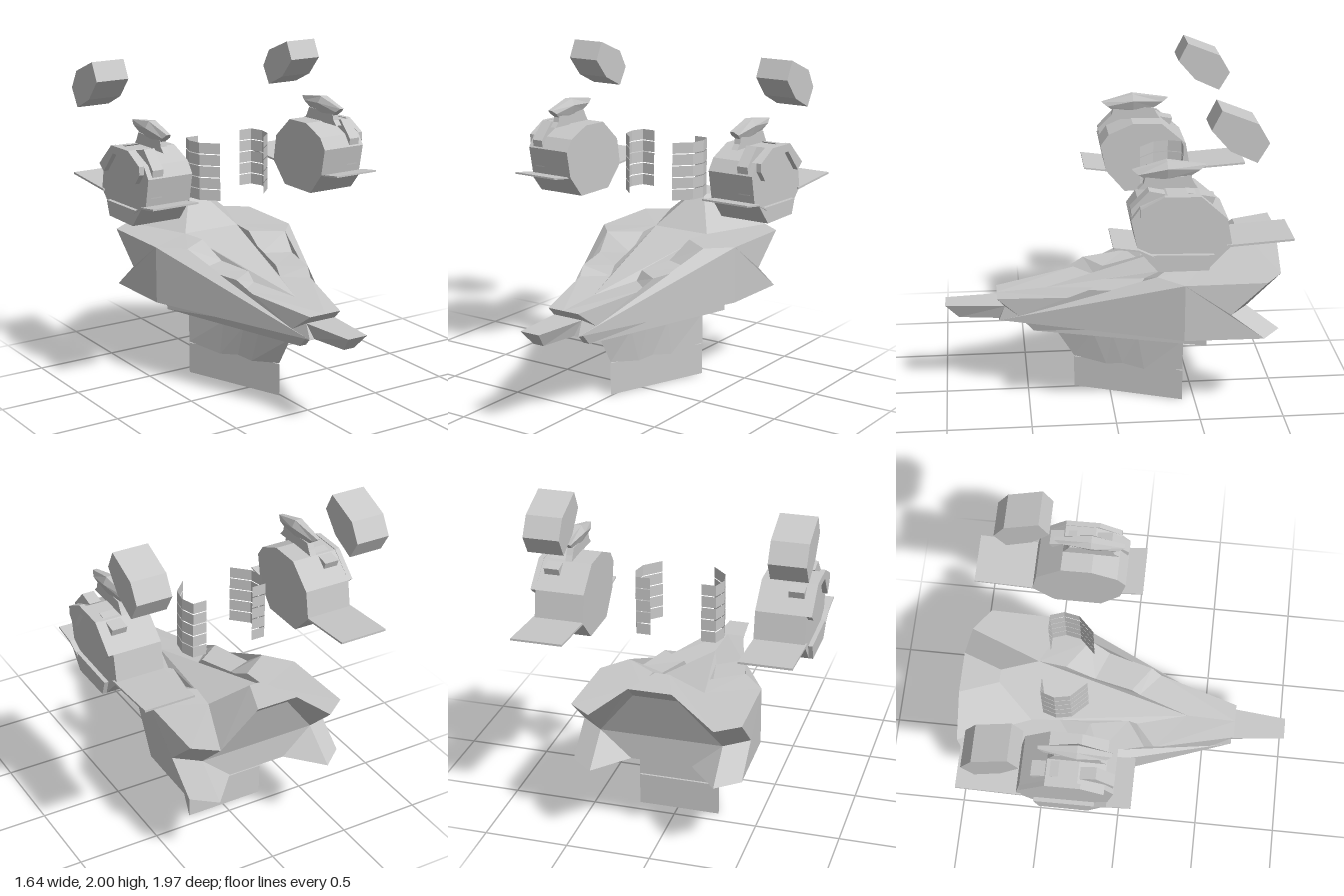
import * as THREE from 'three';

const grey = new THREE.MeshStandardMaterial({ color: 0xc8c8c8, flatShading: true, side: THREE.DoubleSide });
grey.name = 'plain grey';

function mesh(name, geometry, parent) {
  const m = new THREE.Mesh(geometry, grey);
  m.name = name;
  parent.add(m);
  return m;
}

// Faceted surface from polygons, every facet turned away from an inner point
function facets(polys, inner) {
  const pos = [];
  const c = new THREE.Vector3(...inner);
  for (const poly of polys) {
    const p = poly.map((q) => new THREE.Vector3(...q));
    for (let i = 1; i < p.length - 1; i++) {
      const n = p[i].clone().sub(p[0]).cross(p[i + 1].clone().sub(p[0]));
      const out = p[0].clone().add(p[i]).add(p[i + 1]).divideScalar(3).sub(c);
      const tri = n.dot(out) >= 0 ? [p[0], p[i], p[i + 1]] : [p[0], p[i + 1], p[i]];
      tri.forEach((v) => pos.push(v.x, v.y, v.z));
    }
  }
  const g = new THREE.BufferGeometry();
  g.setAttribute('position', new THREE.Float32BufferAttribute(pos, 3));
  g.computeVertexNormals();
  return g;
}

// Closed solid through rings with equal point counts
function loft(rings, inner) {
  const polys = [rings[0], rings[rings.length - 1]];
  for (let r = 0; r < rings.length - 1; r++) {
    const a = rings[r], b = rings[r + 1];
    a.forEach((p, i) => {
      const j = (i + 1) % a.length;
      polys.push([p, a[j], b[j], b[i]]);
    });
  }
  return facets(polys, inner);
}

// Side profile of [z, y] points extruded from x0 to x1
function slab(profile, x0, x1) {
  const g = new THREE.ExtrudeGeometry(new THREE.Shape(profile.map((p) => new THREE.Vector2(...p))),
    { depth: x1 - x0, bevelEnabled: false });
  return g.rotateY(-Math.PI / 2).translate(x1, 0, 0);
}

const flip = ([x, y, z]) => [-x, y, z];

function makeHull() {
  // Deck edge, cockpit rim, chine and floor points of the +x half
  const D = [[.355, .865, -.25], [.325, .765, -.13], [.255, .755, .14], [.235, .70, .2], [.105, .65, .68]];
  const I = [[.17, .865, -.38], [.145, .77, -.2], [.1, .755, .03], [.095, .70, .08], [0, .67, .385]];
  const chine = [.487, .86, -.4], bow = [.14, .55, .55], lip = [.1, .6, .635];
  const keelFront = [.1, .51, .67], keelSide = [.487, .51, -.4];
  // Ridge
  const foot = [.19, .865, -.55], ridgeBack = [.125, 1.06, -.98], ridgeFront = [.04, 1.06, -.75];
  const under = [.13, .97, -.88];
  // Notched tail: upper tip, notch and lower tip at the outer, middle and inner lines
  const outU = [.495, .865, -.88], outN = [.495, .67, -.67], outL = [.495, .51, -.87];
  const midU = [.36, .865, -.98], midN = [.36, .67, -.78], midL = [.36, .51, -.98];
  const inN = [.18, .67, -.78], inL = [.18, .51, -.78];
  const half = [
    [foot, midU, outU, chine, D[0], I[0]],
    [D[3], D[4], [0, .65, .68], I[4], I[3]],
    [foot, ...I],
    [bow, lip, ...[...D].reverse(), chine],
    [bow, lip, keelFront],
    [chine, bow, keelFront, keelSide],
    [chine, outU, outN, outL, keelSide],
    [[0, .51, .67], keelFront, keelSide, outL, midL, inL, [0, .51, -.78]],
    [midU, ridgeBack, ridgeFront, foot],
    [outU, midU, midN, outN], [midN, midL, outL, outN],
    [midN, midU, ridgeBack, under, inN], [midN, inN, inL, midL],
  ];
  for (let i = 0; i < 3; i++) half.push([D[i], D[i + 1], I[i + 1], I[i]]);
  const across = [[foot, ridgeFront], [ridgeFront, ridgeBack], [ridgeBack, under], [under, inN],
    [inN, inL], [D[4], lip], [lip, keelFront]].map(([a, b]) => [a, b, flip(b), flip(a)]);
  const floor = [foot, I[4], flip(foot)];
  return facets([...half, ...half.map((f) => f.map(flip)), ...across, floor], [0, .66, -.3]);
}

// Triangular plan ring; the flanks follow the heights given at fractions from bow to stern
function wedgeRing(bowZ, heights) {
  const flank = heights.map(([t, y]) => [.245 * t, y, bowZ + (-.425 - bowZ) * t]);
  return [...flank, ...flank.slice(1).reverse().map(flip)];
}

function makePod() {
  const pod = new THREE.Group();
  const body = [[-.2, 1.1], [-.48, 1.1], [-.61, 1.235], [-.58, 1.4], [-.43, 1.53], [-.25, 1.535], [-.1, 1.47], [-.05, 1.4], [-.085, 1.235]];
  mesh('podBody', slab(body, .5, .79), pod);
  mesh('podSkirt', slab([[-.2, 1.1], [-.48, 1.1], [-.51, 1.19], [-.14, 1.2], [-.085, 1.235]], .79, .815), pod);
  mesh('podBracket', slab([[-.1, 1.42], [-.15, 1.36], [-.24, 1.49], [-.41, 1.49], [-.53, 1.36],
    [-.58, 1.4], [-.43, 1.535], [-.23, 1.54], [-.1, 1.47]], .79, .82), pod);
  mesh('podFrontStrap', slab([[-.05, 1.45], [-.15, 1.555], [-.24, 1.535], [-.13, 1.3], [-.075, 1.28]], .69, .76), pod);
  mesh('podRearTab', slab([[-.36, 1.54], [-.515, 1.51], [-.49, 1.44]], .67, .76), pod);
  mesh('frontPlate', slab([[.05, 1.255], [-.09, 1.235], [-.18, 1.19], [-.18, 1.18], [-.09, 1.225], [.05, 1.245]], .52, .82), pod);
  mesh('rearPlate', slab([[-.58, 1.24], [-.955, 1.265], [-.955, 1.253], [-.58, 1.228]], .5, .8), pod);
  // Blade on a short neck
  mesh('finNeck', slab([[-.1, 1.53], [-.43, 1.53], [-.41, 1.56], [-.39, 1.6], [-.14, 1.6], [-.13, 1.56]], .62, .66), pod);
  const ring = (z, w, lo, hi) => [[-.5, 0], [.5, 0], [1, .6], [.5, 1], [-.5, 1], [-1, .6]]
    .map(([x, t]) => [.64 + x * w, lo + (hi - lo) * t, z - (1 - t) * (z + .27) * .4]);
  mesh('fin', loft([ring(-.07, .025, 1.58, 1.64), ring(-.26, .045, 1.59, 1.69), ring(-.48, .02, 1.6, 1.66)], [.64, 1.63, -.27]), pod);
  return pod;
}

// Curved open screen made of five stacked strips
function makeScreen() {
  const screen = new THREE.Group();
  const path = [[.15, -.46], [.235, -.46], [.262, -.38], [.245, -.29], [.155, -.2]];
  for (let k = 0; k < 5; k++) {
    const y = 1.145 + k * .0715, top = y + .066;
    const polys = path.slice(1).map(([x, z], i) => {
      const [px, pz] = path[i];
      return [[px, y, pz], [x, y, z], [x, top, z], [px, top, pz]];
    });
    mesh('screenStrip', facets(polys, [.15, y + .03, -.34]), screen);
  }
  return screen;
}

export function createModel() {
  const model = new THREE.Group();
  model.name = 'model';

  // Hull with nose, keel and pedestal
  const craft = new THREE.Group();
  craft.name = 'craft';
  craft.position.x = -.01;
  model.add(craft);
  mesh('hull', makeHull(), craft);
  const quad = (wt, zt, yt, wb, zb, yb) => [[-wt, yt, zt], [wt, yt, zt], [wb, yb, zb], [-wb, yb, zb]];
  mesh('nose', loft([quad(.1, .63, .6, .07, .66, .51), quad(.065, .99, .6, .035, .91, .51)], [0, .56, .78]), craft);
  const keelRing = (y, z) => [[-.022, y, z], [.022, y, z], [.325, y, -.555], [-.325, y, -.555]];
  mesh('keel', loft([keelRing(.395, .46), keelRing(.51, .565)], [0, .45, -.2]), craft);
  const crack = [[0, .2], [.3, .17], [.45, .187], [.65, .165], [1, .195]];
  const level = (y) => crack.map(([t]) => [t, y]);
  mesh('pedestalUpper', loft([wedgeRing(.215, crack.map(([t, y]) => [t, y + .008])), wedgeRing(.33, level(.395))], [0, .3, -.2]), craft);
  mesh('pedestalLower', loft([wedgeRing(.215, level(0)), wedgeRing(.215, crack)], [0, .1, -.2]), craft);

  // Paired floating parts
  const hexagon = [[-.54, 2], [-.74, 1.92], [-.805, 1.81], [-.74, 1.7], [-.59, 1.77], [-.485, 1.89]];
  for (const side of [1, -1]) {
    const word = side > 0 ? 'left' : 'right';
    const pod = makePod();
    pod.name = word + 'Pod';
    pod.scale.x = side;
    if (side < 0) pod.position.set(.02, 0, .06);
    const screen = makeScreen();
    screen.name = word + 'Screen';
    screen.scale.x = side;
    screen.position.x = -.005;
    model.add(pod, screen);
    const x = side > 0 ? .655 : -.717;
    mesh(word + 'HexBlock', slab(hexagon, x - .105, x + .105), model);
  }
  return model;
}
